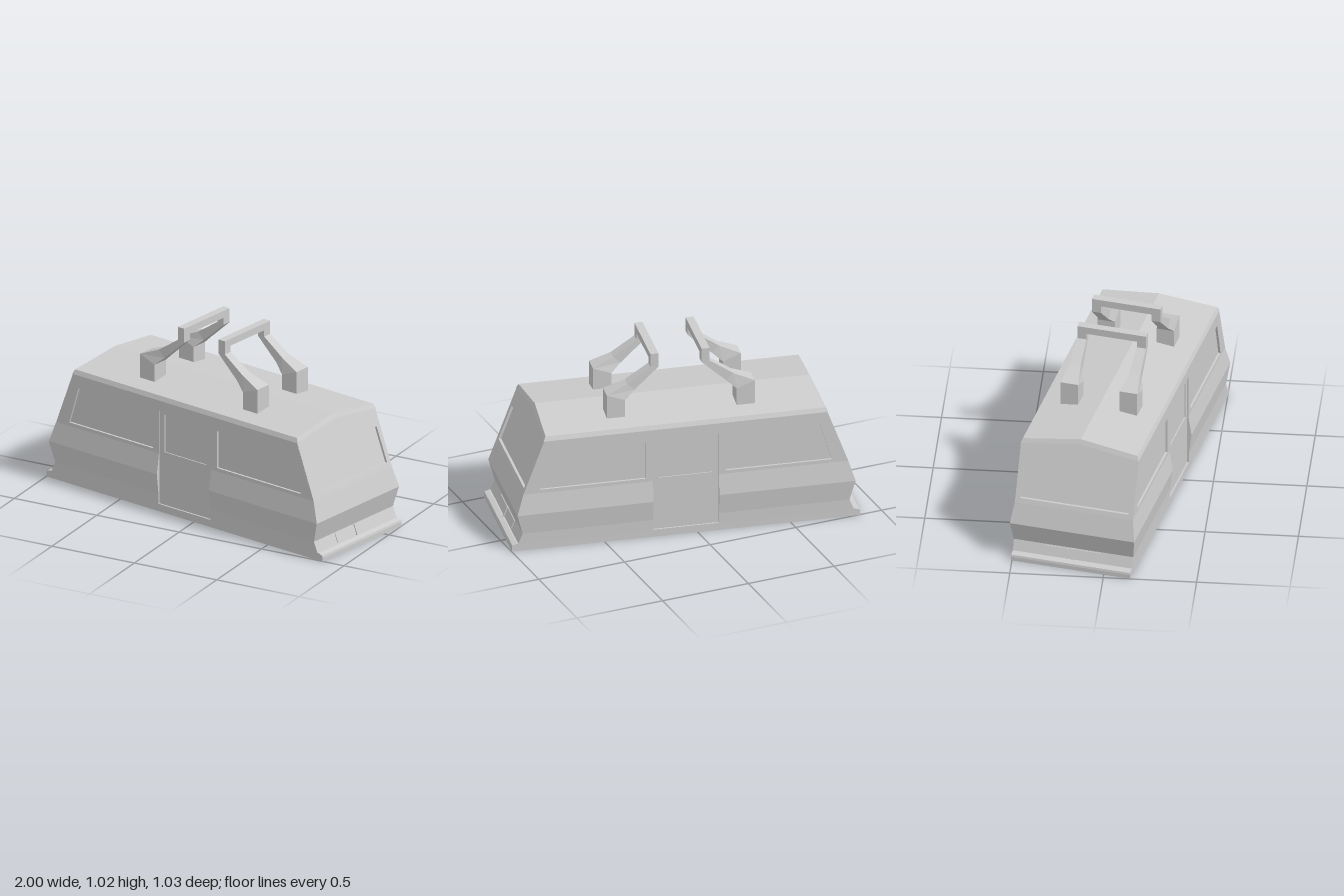
import * as THREE from 'three';

const material = new THREE.MeshStandardMaterial({ color: 0xcccccc, flatShading: true });

function add(parent, name, geometry) {
  const mesh = new THREE.Mesh(geometry, material);
  mesh.name = name;
  parent.add(mesh);
  return mesh;
}

// Skin through rings of [x, y, z] points, each ring clockwise seen from above
function loft(rings, capped = true) {
  const n = rings[0].length, out = [];
  const tri = (a, b, c) => out.push(...a, ...b, ...c);
  for (let r = 0; r < rings.length - 1; r++) {
    for (let i = 0; i < n; i++) {
      const j = (i + 1) % n, lo = rings[r], hi = rings[r + 1];
      tri(lo[i], lo[j], hi[j]);
      tri(lo[i], hi[j], hi[i]);
    }
  }
  if (capped) {
    const bottom = rings[0], top = rings[rings.length - 1];
    for (let k = 2; k < n; k++) { // fan from point 1, which lies on the ridge of a roof ring
      const a = k % n, b = (k + 1) % n;
      tri(top[1], top[a], top[b]);
      tri(bottom[1], bottom[b], bottom[a]);
    }
  }
  const g = new THREE.BufferGeometry();
  g.setAttribute('position', new THREE.Float32BufferAttribute(out, 3));
  g.computeVertexNormals();
  return g;
}

const rect = (x, z, y) => [[x, y, z], [x, y, -z], [-x, y, -z], [-x, y, z]];

function panel(outline, holes, depth) {
  const points = list => list.map(([x, y]) => new THREE.Vector2(x, y));
  const shape = new THREE.Shape(points(outline));
  for (const hole of holes) shape.holes.push(new THREE.Path(points(hole)));
  return new THREE.ExtrudeGeometry(shape, { depth, bevelEnabled: false });
}

// Sloping end faces
const endX = y => 0.889 - (y - 0.33) * 0.373;
const skirtX = y => 0.918 - (y - 0.04) * 0.4;

// Turn an upright panel to face +x and lean it along a slope
function lean(g, slope, offset) {
  g.rotateY(Math.PI / 2);
  const p = g.attributes.position;
  for (let i = 0; i < p.count; i++) p.setX(i, p.getX(i) + slope(p.getY(i)) + offset);
  g.computeVertexNormals();
  return g;
}

// Six-point ring with a raised ridge along x
function roofRing(z, y, rise, inset = 0) {
  const e = endX(y) - inset, r = endX(y + rise) - inset;
  return [[e, y, z], [r, y + rise, 0], [e, y, -z], [-e, y, -z], [-r, y + rise, 0], [-e, y, z]];
}

// Plan of the lower body, with notches for the doors
function bodyRing([y, x, z]) {
  const d = 0.18, n = 0.321;
  return [[x, z], [x, -z], [d, -z], [d, -n], [-d, -n], [-d, -z],
    [-x, -z], [-x, z], [-d, z], [-d, n], [d, n], [d, z]].map(([px, pz]) => [px, y, pz]);
}

function createBody(car) {
  // Base with a shallow well underneath
  const base = panel([[-0.953, -0.33], [0.953, -0.33], [0.953, 0.33], [-0.953, 0.33]],
    [[[-0.85, -0.16], [-0.85, 0.16], [0.85, 0.16], [0.85, -0.16]]], 0.022);
  add(car, 'base', base.rotateX(-Math.PI / 2));
  add(car, 'bumperLedge', loft([rect(0.953, 0.33, 0.022), rect(0.95, 0.33, 0.034), rect(0.925, 0.33, 0.042)]));

  // Lower body and the inner shell that carries the glass
  add(car, 'lowerBody', loft([[0.04, 0.918, 0.33], [0.1, 0.894, 0.331],
    [0.215, 0.925, 0.345], [0.33, 0.889, 0.327]].map(bodyRing), false));
  add(car, 'windowShell', loft([roofRing(0.315, 0.33, 0, 0.014), roofRing(0.315, 0.635, 0.04, 0.014)]));

  // Roof cap
  add(car, 'roof', loft([roofRing(0.328, 0.635, 0.04, -0.003), roofRing(0.318, 0.66, 0.04)]));
}

function createSide() {
  const side = new THREE.Group();
  side.name = 'side';
  const low = endX(0.33) - 0.003, high = endX(0.637) - 0.003;
  const window = s => [[0.22 * s, 0.35], [0.8 * s, 0.35], [0.735 * s, 0.562], [0.22 * s, 0.562]];
  // Wall with two windows and a door opening
  add(side, 'sideWall', panel([[-low, 0.33], [-0.18, 0.33], [-0.18, 0.575], [0.18, 0.575], [0.18, 0.33],
    [low, 0.33], [high, 0.637], [-high, 0.637]], [window(1), window(-1)], 0.012)).position.z = 0.315;
  add(side, 'doorFrame', panel([[-0.18, 0.33], [0.18, 0.33], [0.18, 0.575], [-0.18, 0.575]],
    [[[-0.145, 0.345], [0.145, 0.345], [0.145, 0.56], [-0.145, 0.56]]], 0.006)).position.z = 0.315;
  return side;
}

function createEnd() {
  const end = new THREE.Group();
  end.name = 'end';
  // Gabled end wall with the windscreen opening
  const wall = panel([[-0.327, 0.33], [0.327, 0.33], [0.326, 0.637], [0, 0.677], [-0.326, 0.637]],
    [[[-0.3, 0.355], [0.3, 0.355], [0.298, 0.545], [0, 0.575], [-0.298, 0.545]]], 0.014);
  add(end, 'endWall', lean(wall, endX, -0.014));
  // Light panels and coupler just above the bumper
  for (const s of [-1, 1]) {
    const light = new THREE.BoxGeometry(0.155, 0.046, 0.008).translate(s * 0.082, 0.072, 0);
    add(end, 'lightPanel', lean(light, skirtX, 0));
  }
  const coupler = new THREE.BoxGeometry(0.01, 0.055, 0.02).translate(0, 0.072, 0);
  add(end, 'coupler', lean(coupler, skirtX, 0));
  return end;
}

function createHanger() {
  const hanger = new THREE.Group();
  hanger.name = 'hanger';
  // Each row: outer x, outer y, inner x, inner y, near z, far z
  const sections = [
    [0.405, 0.66, 0.305, 0.66, 0.115, 0.212],
    [0.405, 0.81, 0.305, 0.772, 0.115, 0.212],
    [0.29, 0.858, 0.25, 0.82, 0.135, 0.195],
    [0.162, 0.945, 0.118, 0.94, 0.14, 0.19],
    [0.162, 0.985, 0.118, 0.985, 0.14, 0.19],
  ];
  for (const s of [-1, 1]) {
    add(hanger, 'hangerLeg', loft(sections.map(([ox, oy, ix, iy, z0, z1]) => {
      const a = s > 0 ? z1 : -z0, b = s > 0 ? z0 : -z1;
      return [[ox, oy, a], [ox, oy, b], [ix, iy, b], [ix, iy, a]];
    })));
  }
  add(hanger, 'hangerBar', new THREE.BoxGeometry(0.044, 0.04, 0.38)).position.set(0.14, 1, 0);
  return hanger;
}

export function createModel() {
  const model = new THREE.Group();
  model.name = 'cableCar';
  const car = new THREE.Group();
  car.name = 'car';
  car.rotation.y = -0.191; // the car stands slightly turned
  model.add(car);

  createBody(car);
  // Both sides, both ends and both hangers are half-turn copies
  for (const create of [createSide, createEnd, createHanger]) {
    for (const turn of [0, Math.PI]) {
      const part = create();
      part.rotation.y = turn;
      car.add(part);
    }
  }
  return model;
}
